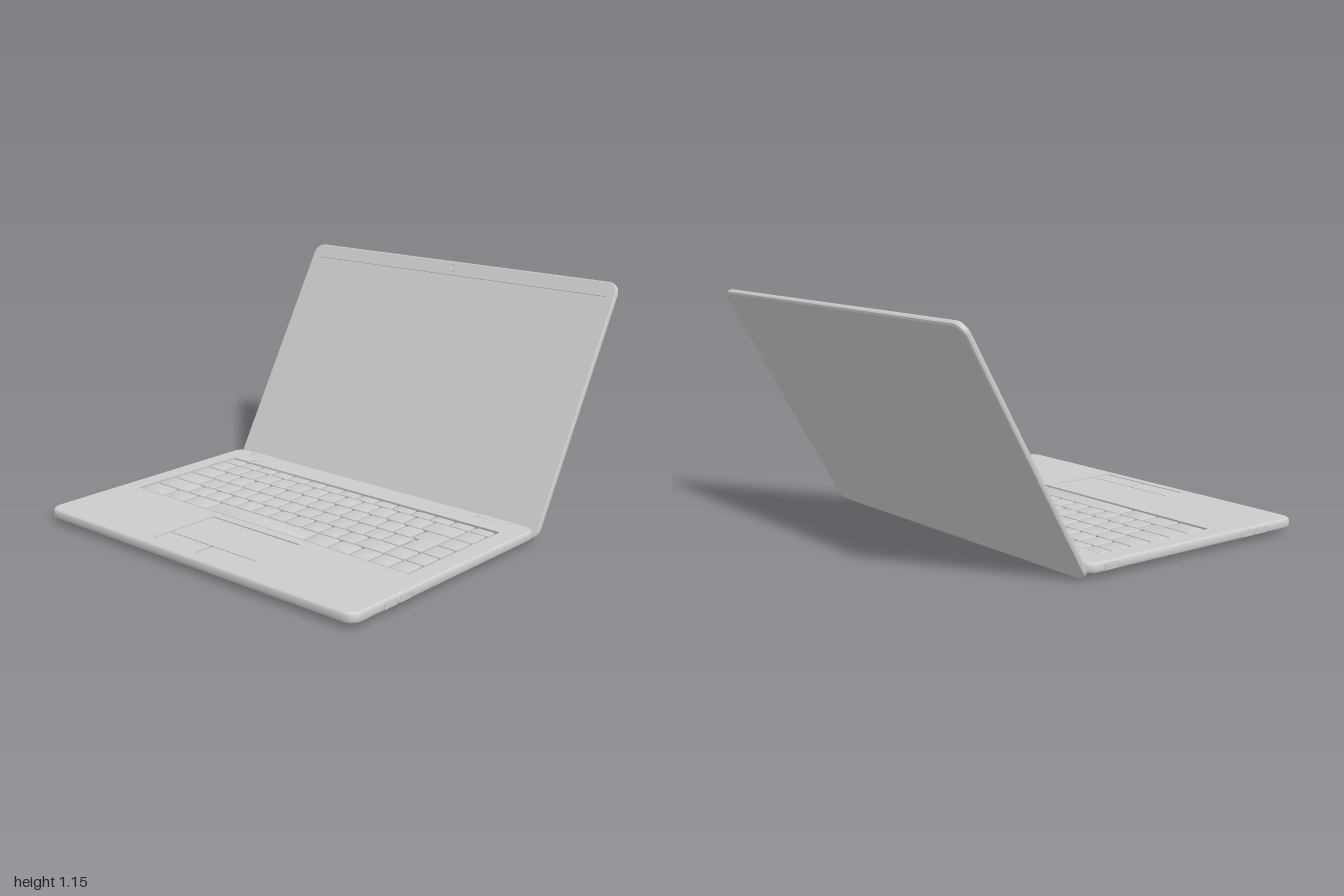
import * as THREE from 'three';
import { toCreasedNormals } from 'three/addons/utils/BufferGeometryUtils.js';

const grey = new THREE.MeshStandardMaterial({ color: 0xcccccc });

function part(parent, name, geometry, x = 0, y = 0, z = 0) {
  const mesh = new THREE.Mesh(toCreasedNormals(geometry, 0.5), grey);
  mesh.name = name;
  mesh.position.set(x, y, z);
  parent.add(mesh);
  return mesh;
}

// Rounded rectangle seen from above; shape y is -z
function rect(x0, z0, x1, z1, r, Type = THREE.Shape) {
  const s = new Type(), b = -z1, t = -z0, h = Math.PI / 2;
  s.moveTo(x0 + r, b);
  s.absarc(x1 - r, b + r, r, -h, 0);
  s.absarc(x1 - r, t - r, r, 0, h);
  s.absarc(x0 + r, t - r, r, h, 2 * h);
  s.absarc(x0 + r, b + r, r, 2 * h, 3 * h);
  s.closePath();
  return s;
}
const hole = (x0, z0, x1, z1, r) => rect(x0, z0, x1, z1, r, THREE.Path);

// Flat plate lying between two heights
function plate(shape, y0, y1) {
  return new THREE.ExtrudeGeometry(shape, { depth: y1 - y0, bevelEnabled: false, curveSegments: 8 })
    .rotateX(-Math.PI / 2).translate(0, y0, 0);
}

// Rounded side wall from a profile of [inset, height]
function rim([x0, z0, x1, z1], r, profile) {
  const pos = [], index = [];
  let n = 0;
  for (const [i, y] of profile) {
    const pts = rect(x0 + i, z0 + i, x1 - i, z1 - i, r - i).getPoints(8);
    n = pts.length;
    for (const p of pts) pos.push(p.x, y, -p.y);
  }
  for (let j = 0; j < profile.length - 1; j++) {
    for (let k = 0; k < n; k++) {
      const a = j * n + k, b = j * n + (k + 1) % n;
      index.push(a, b, b + n, a, b + n, a + n);
    }
  }
  const g = new THREE.BufferGeometry();
  g.setAttribute('position', new THREE.Float32BufferAttribute(pos, 3));
  g.setIndex(index);
  return g;
}

// Key cap with softened top edges
function keyGeometry(shape) {
  return new THREE.ExtrudeGeometry(shape, {
    depth: 0.009, bevelThickness: 0.004, bevelSize: 0.004, bevelOffset: -0.004,
    bevelSegments: 2, curveSegments: 3,
  }).rotateX(-Math.PI / 2);
}

const run = (start, step, n) => Array.from({ length: n + 1 }, (_, i) => start + step * i);

function buildKeyboard(parent) {
  const keyboard = new THREE.Group();
  keyboard.name = 'keyboard';
  parent.add(keyboard);
  // [back z, front z, key edges along x]
  const rows = [
    [-0.162, -0.1, run(-0.875, 0.1165, 14)],
    [-0.093, 0.02, [...run(-0.875, 0.111, 13), 0.757]],
    [0.028, 0.14, [-0.875, ...run(-0.7275, 0.111, 12)]],
    [0.149, 0.26, [-0.875, ...run(-0.7, 0.111, 12)]],
    [0.268, 0.378, [-0.875, ...run(-0.648, 0.111, 10), 0.635, 0.757]],
    [0.386, 0.495, [-0.875, -0.71, -0.562, -0.397, 0.25, 0.394, 0.526, 0.643, 0.757]],
  ];
  const g = 0.005;
  for (const [z0, z1, edges] of rows) {
    const spans = edges.slice(1).map((e, i) => [edges[i], e]);
    spans.push([0.757, 0.868]);
    for (const [a, b] of spans) {
      part(keyboard, 'key', keyGeometry(rect(a + g, z0, b - g, z1, 0.012)), 0, 0.059, 0);
    }
  }
  // L-shaped enter key
  const enter = new THREE.Shape([[0.615, -0.028], [0.615, -0.135], [0.65, -0.135], [0.65, -0.26],
    [0.752, -0.26], [0.752, -0.028]].map(([x, y]) => new THREE.Vector2(x, y)));
  part(keyboard, 'enterKey', keyGeometry(enter), 0, 0.059, 0);
}

function buildBase(model) {
  const base = new THREE.Group();
  base.name = 'base';
  model.add(base);
  part(base, 'baseRim', rim([-0.985, -0.33, 0.985, 1], 0.06,
    [[0.03, 0.022], [0.01, 0.027], [0.002, 0.034], [0, 0.042], [0, 0.06], [0.004, 0.069], [0.013, 0.075]]));

  // Deck with openings for keyboard, touchpad and hinges
  const deck = rect(-0.972, -0.317, 0.972, 0.987, 0.047);
  deck.holes.push(hole(-0.882, -0.175, 0.882, 0.508, 0.01), hole(-0.283, 0.557, 0.285, 0.942, 0.006),
    hole(-0.855, -0.31, -0.67, -0.272, 0.004), hole(0.67, -0.31, 0.855, -0.272, 0.004));
  part(base, 'deck', plate(deck, 0.057, 0.075));
  part(base, 'deckFloor', plate(rect(-0.97, -0.315, 0.97, 0.985, 0.045), 0.05, 0.058));

  // Underside with recessed covers
  const under = rect(-0.955, -0.3, 0.955, 0.97, 0.03);
  under.holes.push(hole(0.11, -0.06, 0.57, 0.3, 0.01), hole(-0.44, -0.05, -0.1, 0.3, 0.01),
    hole(-0.85, -0.16, -0.59, 0.53, 0.01));
  part(base, 'underside', plate(under, 0.022, 0.028));
  part(base, 'serviceCovers', plate(rect(-0.95, -0.29, 0.95, 0.96, 0.03), 0.028, 0.034));
  for (const x of [-0.9, 0.9]) {
    for (const z of [-0.17, 0.91]) {
      part(base, 'foot', new THREE.CylinderGeometry(0.04, 0.034, 0.012, 28), x, 0.018, z);
    }
  }

  // Touchpad and its two buttons
  part(base, 'touchpad', plate(rect(-0.279, 0.563, 0.281, 0.828, 0.004), 0.058, 0.072));
  part(base, 'leftClick', plate(rect(-0.279, 0.834, -0.005, 0.94, 0.004), 0.058, 0.072));
  part(base, 'rightClick', plate(rect(0.007, 0.834, 0.281, 0.94, 0.004), 0.058, 0.072));

  // Power button
  part(base, 'powerButton', new THREE.CylinderGeometry(0.024, 0.024, 0.01, 28), -0.76, 0.073, -0.225);
  part(base, 'powerRing', new THREE.TorusGeometry(0.027, 0.002, 6, 32).rotateX(Math.PI / 2), -0.76, 0.076, -0.225);

  // Side sockets: a thin frame around a tongue
  const sockets = [[1, 0.76, 0.08], [1, 0.66, 0.08], [-1, 0.76, 0.08], [-1, 0.66, 0.08], [-1, -0.2, 0.08]];
  for (const [side, z, w] of sockets) {
    const frame = rect(-w / 2, -0.015, w / 2, 0.015, 0.003);
    frame.holes.push(hole(-w / 2 + 0.005, -0.011, w / 2 - 0.005, 0.011, 0.002));
    const socket = new THREE.Group();
    socket.name = 'socket';
    socket.position.set(side * 0.983, 0.05, z);
    socket.rotation.y = side * Math.PI / 2;
    base.add(socket);
    part(socket, 'socketFrame', plate(frame, 0, 0.004).rotateX(Math.PI / 2));
    part(socket, 'socketTongue', new THREE.BoxGeometry(w - 0.024, 0.008, 0.006), 0, 0.003, 0);
  }
  buildKeyboard(base);
}

function buildLid(model) {
  // Built flat with the screen up, then tilted open
  const lid = new THREE.Group();
  lid.name = 'lid';
  lid.position.set(0, 0.014, -0.317);
  lid.rotation.x = Math.PI / 3;
  model.add(lid);
  part(lid, 'lidRim', rim([-0.985, -1.322, 0.985, 0], 0.06,
    [[0.012, -0.03], [0.003, -0.025], [0, -0.018], [0, -0.008], [0.003, -0.002], [0.008, 0]]));
  part(lid, 'lidBack', plate(rect(-0.973, -1.31, 0.973, -0.012, 0.048), -0.03, -0.012));
  const bezel = rect(-0.977, -1.314, 0.977, -0.008, 0.052);
  bezel.holes.push(hole(-0.93, -1.243, 0.93, -0.13, 0.004));
  part(lid, 'bezel', plate(bezel, -0.012, 0));
  part(lid, 'screen', plate(rect(-0.94, -1.25, 0.94, -0.12, 0.004), -0.013, -0.006));
  part(lid, 'cameraRing', new THREE.TorusGeometry(0.019, 0.002, 6, 32).rotateX(Math.PI / 2), 0, 0, -1.283);
  part(lid, 'cameraLens', new THREE.CylinderGeometry(0.016, 0.016, 0.004, 24), 0, 0, -1.283);
}

export function createModel() {
  const model = new THREE.Group();
  model.name = 'laptop';
  buildBase(model);
  buildLid(model);
  // Hinge barrels
  for (const x of [-0.7625, 0.7625]) {
    part(model, 'hinge', new THREE.CylinderGeometry(0.031, 0.031, 0.175, 24).rotateZ(Math.PI / 2), x, 0.046, -0.312);
  }
  return model;
}
